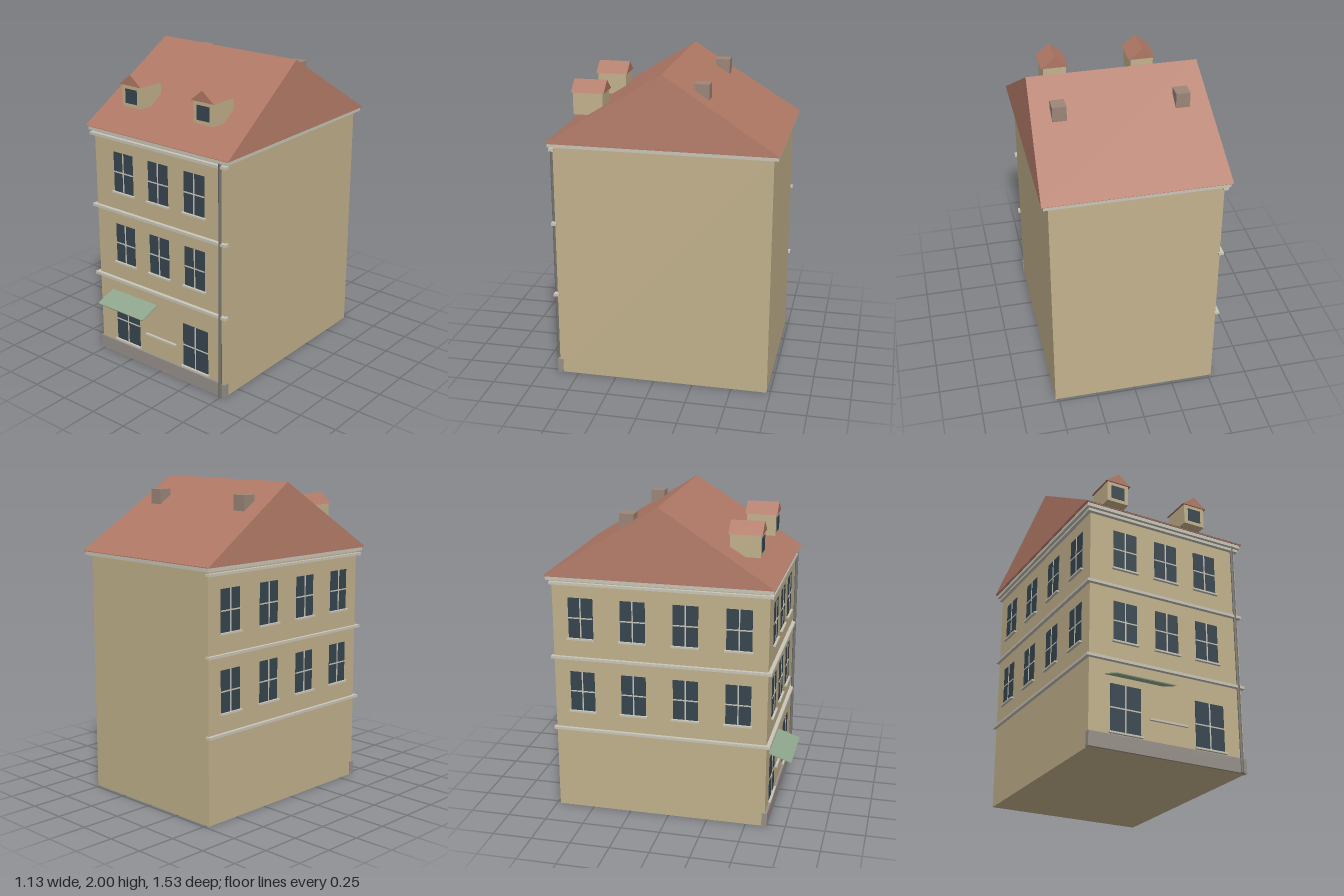
import * as THREE from 'three';

const mat = (name, color) => {
  const m = new THREE.MeshStandardMaterial({ color });
  m.name = name;
  return m;
};

export function createModel() {
  const wall = mat('wall plaster', 0xc2b28c);
  const tile = mat('roof tile', 0xb07865);
  const trim = mat('pale trim', 0xc9c5b8);
  const glass = mat('window glass', 0x37454f);
  const stone = mat('plinth stone', 0x97908a);
  const brick = mat('chimney brick', 0x9c8678);
  const metal = mat('pipe metal', 0x77756f);
  const cloth = mat('awning cloth', 0x8fa68d);

  const house = new THREE.Group();
  house.name = 'townHouse';

  // Box given by its minimum and maximum along each axis
  const box = (name, material, x0, x1, y0, y1, z0, z1, parent = house) => {
    const mesh = new THREE.Mesh(new THREE.BoxGeometry(x1 - x0, y1 - y0, z1 - z0), material);
    mesh.position.set((x0 + x1) / 2, (y0 + y1) / 2, (z0 + z1) / 2);
    mesh.name = name;
    parent.add(mesh);
    return mesh;
  };

  // Pitched roof with its ridge along x; inset pulls the ridge ends inwards
  const gableRoof = (name, halfLength, inset, y0, y1, zBack, zRidge, zFront) => {
    const h = halfLength, r = halfLength - inset;
    const a = [-h, y0, zFront], b = [h, y0, zFront], c = [h, y0, zBack], d = [-h, y0, zBack];
    const e = [-r, y1, zRidge], f = [r, y1, zRidge];
    const faces = [a, b, f, a, f, e, c, d, e, c, e, f, b, c, f, d, a, e, a, d, c, a, c, b];
    const geometry = new THREE.BufferGeometry();
    geometry.setAttribute('position', new THREE.Float32BufferAttribute(faces.flat(), 3));
    geometry.computeVertexNormals();
    const mesh = new THREE.Mesh(geometry, tile);
    mesh.name = name;
    house.add(mesh);
    return mesh;
  };

  // Window on a facade whose surface is local z = 0
  const addWindow = (parent, x, y0, y1, w) => {
    const g = new THREE.Group();
    g.name = 'window';
    const ym = (y0 + y1) / 2, h = w / 2;
    box('pane', glass, x - h, x + h, y0, y1, -0.004, 0.003, g);
    box('mullion', trim, x - 0.004, x + 0.004, y0, y1, 0, 0.006, g);
    box('transom', trim, x - h, x + h, ym - 0.004, ym + 0.004, 0, 0.006, g);
    box('sill', trim, x - h - 0.01, x + h + 0.01, y0 - 0.011, y0, 0, 0.018, g);
    parent.add(g);
  };

  const W = 0.522, zF = 0.622, zB = -0.728;

  // Main body, plinth and cornice
  box('walls', wall, -W, W, 0, 1.535, zB, zF);
  box('plinth', stone, -0.528, 0.528, 0, 0.09, zF - 0.02, 0.637);
  box('cornice', trim, -0.553, 0.553, 1.527, 1.55, -0.757, 0.647);

  // Main roof
  gableRoof('mainRoof', 0.565, 0.043, 1.555, 2, -0.765, -0.055, 0.657);
  box('eavesBoard', tile, -0.56, 0.56, 1.55, 1.5555, -0.761, 0.653);

  // Facades: front, and the right side turned towards -x
  const front = new THREE.Group();
  front.name = 'frontFacade';
  front.position.z = zF;
  const side = new THREE.Group();
  side.name = 'sideFacade';
  side.position.x = -W;
  side.rotation.y = -Math.PI / 2;
  house.add(front, side);

  // Upper windows on both facades
  for (const y of [0.676, 1.157]) {
    for (const x of [-0.285, 0, 0.285]) addWindow(front, x, y, y + 0.258, 0.158);
    for (let i = 0; i < 4; i++) addWindow(side, -0.548 + 0.33 * i, y, y + 0.258, 0.158);
  }
  // Shop windows
  for (const x of [-0.285, 0.285]) addWindow(front, x, 0.11, 0.403, 0.2);

  // String courses
  for (const y of [0.547, 1.025, 1.505]) {
    box('frontBand', trim, -0.546, 0.536, y - 0.009, y + 0.009, -0.01, 0.024, front);
    box('sideBand', trim, -0.742, 0.645, y - 0.008, y + 0.008, -0.01, 0.022, side);
  }

  // Rail between the shop windows
  box('rail', trim, -0.127, 0.127, 0.221, 0.233, 0, 0.015, front);

  // Sloping awning
  const rise = 0.05, reach = 0.145;
  const awning = new THREE.Mesh(new THREE.BoxGeometry(0.388, 0.006, Math.hypot(rise, reach)), cloth);
  awning.name = 'awning';
  awning.position.set(-0.224, 0.43, zF + reach / 2 - 0.003);
  awning.rotation.x = Math.atan2(rise, reach);
  house.add(awning);

  // Downpipe
  const pipe = new THREE.Mesh(new THREE.CylinderGeometry(0.01, 0.01, 1.53, 8), metal);
  pipe.name = 'downpipe';
  pipe.position.set(0.493, 0.765, 0.639);
  house.add(pipe);

  // Dormers and chimneys, mirrored
  for (const s of [-1, 1]) {
    const x = 0.284 * s;
    box('dormerBody', wall, x - 0.074, x + 0.074, 1.69, 1.829, 0.346, 0.533);
    box('dormerWindow', glass, x - 0.046, x + 0.046, 1.714, 1.804, 0.53, 0.537);
    const roof = gableRoof('dormerRoof', 0.103, 0, 1.828, 1.897, -0.087, 0, 0.087);
    roof.rotation.y = Math.PI / 2;
    roof.position.set(x, 0, 0.439);
    const c = 0.371 * s;
    box('chimney', brick, c - 0.043, c + 0.043, 1.75, 1.928, -0.321, -0.231);
  }

  return house;
}
